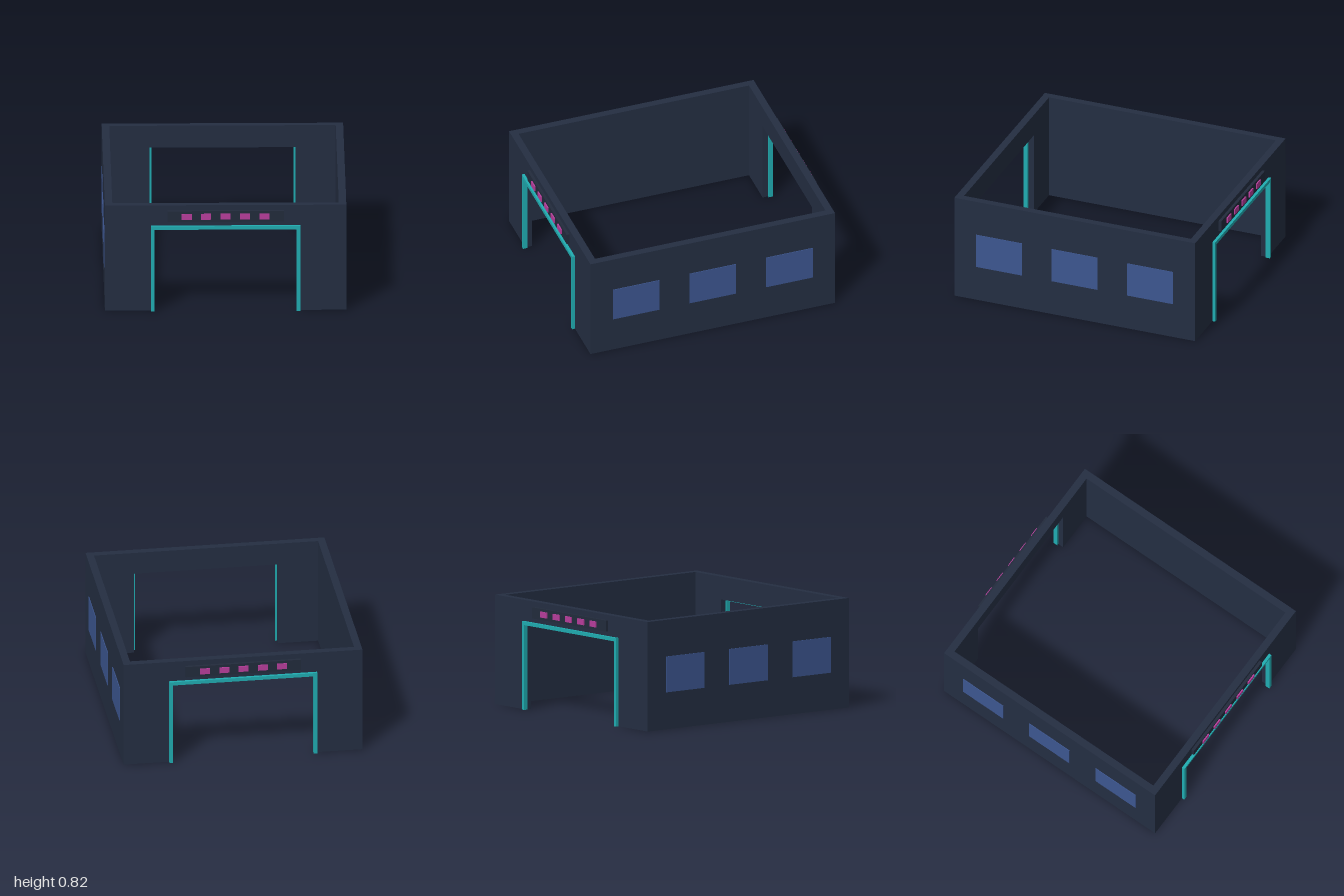
import * as THREE from 'three';

const paint = (name, color) => {
  const m = new THREE.MeshStandardMaterial({ color });
  m.name = name;
  return m;
};

export function createModel() {
  const wallMat = paint('dark navy wall', 0x242e42);
  const panelMat = paint('dark slate panel', 0x222b3c);
  const trimMat = paint('teal trim', 0x20adb2);
  const lightMat = paint('magenta light', 0xb83e9c);
  const glassMat = paint('blue glass', 0x3c5690);

  const W = 0.9, D = 0.968, H = 0.825, T = 0.056; // half width, half depth, height, wall thickness
  const doorX = 0.543, doorY = 0.653, trim = 0.027; // opening and its frame

  const box = (parent, name, mat, size, pos) => {
    const mesh = new THREE.Mesh(new THREE.BoxGeometry(...size), mat);
    mesh.name = name;
    mesh.position.set(...pos);
    parent.add(mesh);
  };

  // End wall with a wide doorway, facing +z
  const createEnd = (name) => {
    const end = new THREE.Group();
    end.name = name;
    const outline = new THREE.Shape([
      [-W, 0], [-doorX, 0], [-doorX, doorY], [doorX, doorY],
      [doorX, 0], [W, 0], [W, H], [-W, H],
    ].map(([x, y]) => new THREE.Vector2(x, y)));
    const wall = new THREE.Mesh(
      new THREE.ExtrudeGeometry(outline, { depth: T, bevelEnabled: false }), wallMat);
    wall.name = 'endWall';
    wall.position.z = D - T;
    end.add(wall);

    // Doorway frame
    const tz = D + 0.005, td = 0.034;
    for (const s of [-1, 1]) {
      box(end, 'doorPost', trimMat, [trim, doorY - trim / 2, td],
        [s * doorX, (doorY - trim / 2) / 2, tz]);
    }
    box(end, 'doorLintel', trimMat, [doorX * 2 + trim, trim, td], [0, doorY, tz]);

    // Sign panel with a row of lights
    box(end, 'signPanel', panelMat, [0.87, 0.084, 0.024], [0, 0.743, D + 0.01]);
    for (let i = -2; i <= 2; i++) {
      box(end, 'signLight', lightMat, [0.075, 0.044, 0.012], [i * 0.145, 0.743, 0.994]);
    }
    return end;
  };

  const model = new THREE.Group();
  model.name = 'pavilion';
  const front = createEnd('frontEnd');
  const back = createEnd('backEnd');
  back.rotation.y = Math.PI;
  model.add(front, back);

  // Side walls with three windows each
  for (const s of [-1, 1]) {
    const side = new THREE.Group();
    side.name = s > 0 ? 'leftSide' : 'rightSide';
    box(side, 'sideWall', wallMat, [T, H, 2 * (D - T)], [s * (W - T / 2), H / 2, 0]);
    for (let i = -1; i <= 1; i++) {
      box(side, 'window', glassMat, [0.008, 0.27, 0.368], [s * (W + 0.001), 0.414, i * 0.607]);
    }
    model.add(side);
  }
  return model;
}
